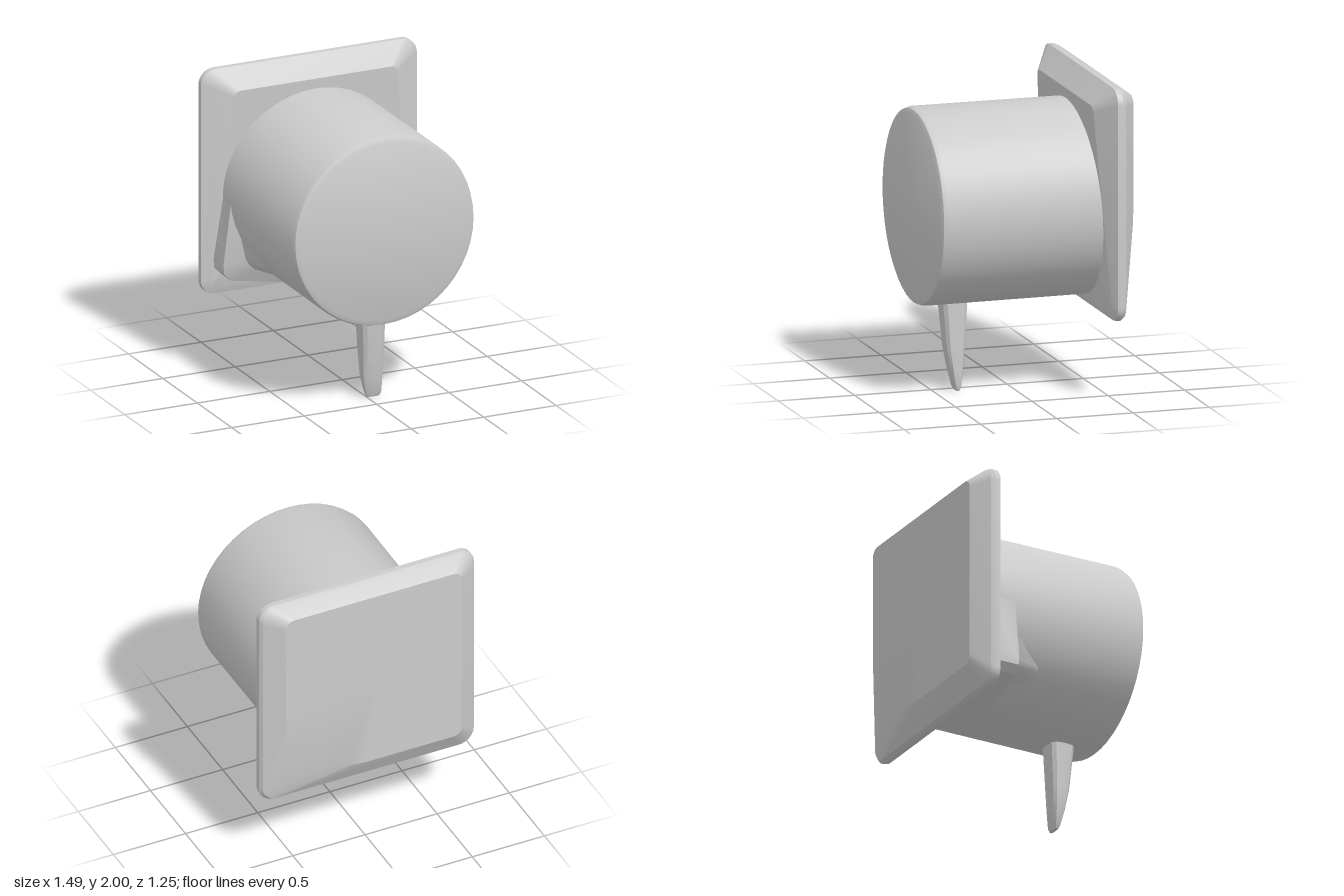
import * as THREE from 'three';
import { toCreasedNormals } from 'three/addons/utils/BufferGeometryUtils.js';

const grey = new THREE.MeshStandardMaterial({ color: 0xcccccc });
grey.name = 'grey';

// Skin a list of equal-length rings (counter-clockwise about the loft axis) and cap both ends.
function loft(rings, crease = 0.5) {
  const n = rings[0].length;
  const pos = [];
  const tri = (a, b, c) => pos.push(...a, ...b, ...c);
  const middle = (ring) => [0, 1, 2].map((k) => ring.reduce((s, p) => s + p[k], 0) / n);
  const first = rings[0];
  const last = rings[rings.length - 1];
  const c0 = middle(first);
  const c1 = middle(last);
  for (let j = 0; j < n; j++) {
    const k = (j + 1) % n;
    for (let i = 0; i < rings.length - 1; i++) {
      const [r, s] = [rings[i], rings[i + 1]];
      tri(r[j], r[k], s[k]);
      tri(r[j], s[k], s[j]);
    }
    tri(c0, first[k], first[j]);
    tri(c1, last[j], last[k]);
  }
  const geometry = new THREE.BufferGeometry();
  geometry.setAttribute('position', new THREE.Float32BufferAttribute(pos, 3));
  return toCreasedNormals(geometry, crease);
}

// Rounded rectangle ring; radii run top right, top left, bottom left, bottom right.
function roundedRing(halfW, y0, y1, radii, zAt, widthAt = () => 1) {
  const ring = [];
  const steps = 8;
  radii.forEach((r, q) => {
    const cx = (q === 0 || q === 3 ? 1 : -1) * (halfW - r);
    const cy = q < 2 ? y1 - r : y0 + r;
    for (let i = 0; i <= steps; i++) {
      const a = (q + i / steps) * Math.PI / 2;
      const y = cy + r * Math.sin(a);
      ring.push([(cx + r * Math.cos(a)) * widthAt(y), y, zAt(y)]);
    }
  });
  return ring;
}

export function createModel() {
  const model = new THREE.Group();
  const add = (name, geometry) => {
    const mesh = new THREE.Mesh(geometry, grey);
    mesh.name = name;
    model.add(mesh);
    return mesh;
  };

  // Barrel with a small rounded front edge
  const profile = [[0, -0.5], [0.622, -0.5], [0.625, 0.585], [0.615, 0.612], [0.585, 0.625], [0, 0.625]]
    .map(([r, y]) => new THREE.Vector2(r, y));
  const barrel = add('barrel', toCreasedNormals(new THREE.LatheGeometry(profile, 48), 0.5));
  barrel.rotation.x = Math.PI / 2;
  barrel.position.y = 1.182;

  // Square plate: flat back with one swept corner, sharp rim, leaning front face
  const even = [0.1, 0.1, 0.1, 0.1];
  const fall = (y) => (1.87 - y) / 1.3;
  add('plate', loft([
    roundedRing(0.61, 0.67, 1.93, [0.06, 0.06, 0.06, 0.55], () => -0.63),
    roundedRing(0.73, 0.525, 1.99, even, () => -0.545),
    roundedRing(0.745, 0.51, 2.0, even, () => -0.52),
    roundedRing(0.745, 0.515, 2.0, even, () => -0.485),
    roundedRing(0.56, 0.57, 1.87, [0.04, 0.04, 0.04, 0.04],
      (y) => -0.38 - 0.085 * fall(y), (y) => 1 + 0.23 * fall(y)),
  ], 0.35));

  // Ear bulging from the lower right of the barrel, in front of the plate
  const ear = [[-0.1, 1.1], [-0.615, 1.2], [-0.672, 0.76], [-0.668, 0.7], [-0.62, 0.65], [-0.1, 0.565]];
  const bulge = [[-0.1, 1.1], [-0.605, 1.15], [-0.55, 0.8], [-0.525, 0.76], [-0.49, 0.73], [-0.1, 0.58]];
  const root = [[-0.1, 1.1], [-0.58, 1.12], [-0.48, 0.81], [-0.46, 0.78], [-0.42, 0.75], [-0.1, 0.6]];
  const atZ = (ring, z) => ring.map(([x, y]) => [x, y, z]);
  add('ear', loft([
    atZ(ear, -0.5),
    atZ(ear, -0.31),
    atZ(bulge, -0.24),
    atZ(root, -0.02),
  ]));

  // Tapered foot below the front of the barrel: y, x range, z range
  const sections = [
    [0, 0.0, 0.09, 0.335, 0.36],
    [0.025, -0.012, 0.1, 0.325, 0.372],
    [0.13, -0.038, 0.102, 0.31, 0.395],
    [0.27, -0.05, 0.102, 0.298, 0.422],
    [0.64, -0.07, 0.105, 0.272, 0.458],
  ];
  add('foot', loft(sections.map(([y, x0, x1, z0, z1]) => {
    const ring = [];
    for (let i = 0; i < 12; i++) {
      const a = (i / 12) * Math.PI * 2;
      const square = (v) => Math.sign(v) * Math.abs(v) ** 0.6;
      ring.push([
        (x0 + x1) / 2 + square(Math.cos(a)) * (x1 - x0) / 2,
        y,
        (z0 + z1) / 2 - square(Math.sin(a)) * (z1 - z0) / 2,
      ]);
    }
    return ring;
  })));

  return model;
}
